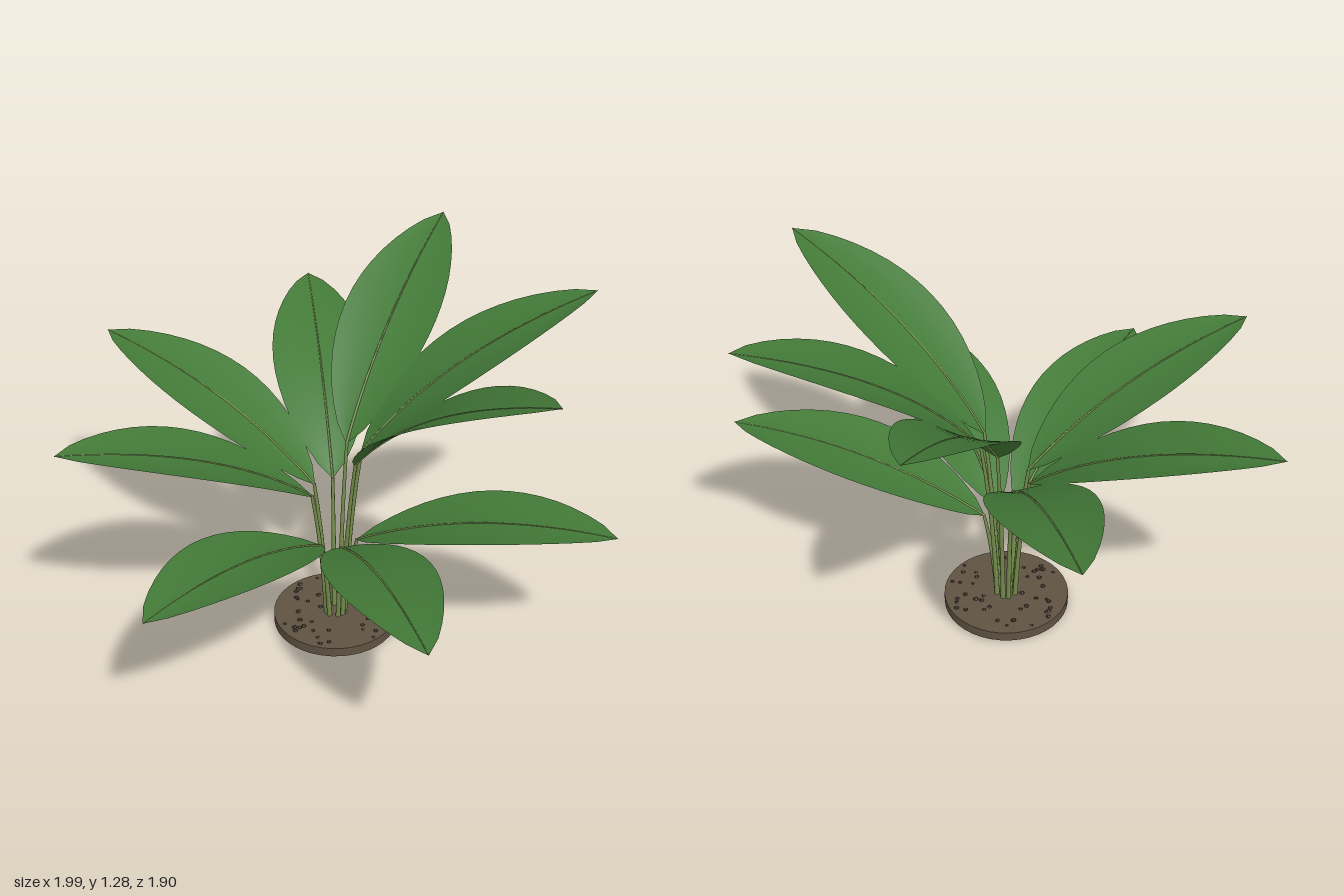
import * as THREE from 'three';

const material = (name, color) => {
  const m = new THREE.MeshStandardMaterial({ color });
  m.name = name;
  return m;
};

function mesh(name, geometry, mat) {
  const m = new THREE.Mesh(geometry, mat);
  m.name = name;
  return m;
}

// Three tiers; points are [distance from the centre, height]
const TIERS = [
  { base: [0.08, 0.38], bend: [0.5, 0.63], tip: [1.022, 0.627] },
  { base: [0.085, 0.57], bend: [0.44, 0.87], tip: [0.985, 0.95] },
  { base: [0.09, 0.72], bend: [0.36, 1.09], tip: [0.918, 1.28] },
];
const HALF_WIDTH = 0.178;
const point = ([r, y]) => new THREE.Vector3(r, y, 0);

// Arching, slightly cupped sheet with a rounded outline and a short tip
function bladeGeometry(curve) {
  const g = new THREE.PlaneGeometry(1, 1, 16, 8).rotateX(-Math.PI / 2);
  const pos = g.attributes.position;
  for (let i = 0; i < pos.count; i++) {
    const t = THREE.MathUtils.clamp(pos.getX(i) + 0.5, 0, 1);
    const u = pos.getZ(i) * 2;
    const p = curve.getPointAt(t);
    const d = curve.getTangentAt(t);
    const swell = Math.pow(Math.max(0, Math.sin(Math.PI * t)), 0.75);
    const lift = 0.024 * swell * u * u;
    pos.setXYZ(i, p.x - d.y * lift, p.y + d.x * lift, u * HALF_WIDTH * swell);
  }
  g.computeVertexNormals();
  return g;
}

// Tube that narrows from one radius to another
function taperedTube(curve, r0, r1, segments, sides) {
  const g = new THREE.TubeGeometry(curve, segments, 1, sides);
  const pos = g.attributes.position;
  const v = new THREE.Vector3();
  for (let i = 0; i < pos.count; i++) {
    const t = Math.floor(i / (sides + 1)) / segments;
    const c = curve.getPointAt(t);
    v.fromBufferAttribute(pos, i).sub(c).multiplyScalar(r0 + (r1 - r0) * t).add(c);
    pos.setXYZ(i, v.x, v.y, v.z);
  }
  return g;
}

export function createModel() {
  const leafGreen = material('leaf green', 0x437a38);
  leafGreen.side = THREE.DoubleSide;
  const stemGreen = material('stem green', 0x758c4c);
  const soilBrown = material('soil brown', 0x5f5242);
  const crumbBrown = material('dark crumb brown', 0x3b3127);

  const plant = new THREE.Group();
  plant.name = 'pottedPlant';
  plant.position.set(-0.025, 0, -0.035);

  // Soil disc
  const soil = mesh('soil', new THREE.CylinderGeometry(0.23, 0.23, 0.036, 40), soilBrown);
  soil.position.y = 0.018;
  plant.add(soil);

  // Crumbs scattered over the soil
  let seed = 7;
  const random = () => (seed = (seed * 16807) % 2147483647) / 2147483647;
  const crumbs = new THREE.Group();
  crumbs.name = 'soilCrumbs';
  const crumbGeometry = new THREE.IcosahedronGeometry(1, 0);
  for (let i = 0; i < 45; i++) {
    const a = random() * Math.PI * 2;
    const r = 0.05 + 0.165 * Math.sqrt(random());
    const s = 0.006 + random() * 0.005;
    const crumb = mesh('crumb', crumbGeometry, crumbBrown);
    crumb.position.set(Math.cos(a) * r, 0.036, Math.sin(a) * r);
    crumb.rotation.y = a * 3;
    crumb.scale.set(s, s * 0.6, s);
    crumbs.add(crumb);
  }
  plant.add(crumbs);

  // Shared shapes for each tier
  const shapes = TIERS.map(({ base, bend, tip }) => {
    const arch = new THREE.QuadraticBezierCurve3(point(base), point(bend), point(tip));
    const stalk = new THREE.QuadraticBezierCurve3(
      point([0.035, 0.02]), point([0.05, base[1] * 0.6]), point([base[0] + 0.004, base[1] + 0.005]));
    return {
      blade: bladeGeometry(arch),
      rib: taperedTube(arch, 0.005, 0.0015, 16, 5),
      stem: taperedTube(stalk, 0.01, 0.006, 6, 8),
    };
  });

  // Nine leaves spiralling by the golden angle
  for (let i = 0; i < 9; i++) {
    const shape = shapes[i % 3];
    const leaf = new THREE.Group();
    leaf.name = 'leaf';
    leaf.add(
      mesh('leafBlade', shape.blade, leafGreen),
      mesh('midrib', shape.rib, stemGreen),
      mesh('leafStem', shape.stem, stemGreen));
    leaf.rotation.y = -THREE.MathUtils.degToRad(i * 137.5);
    plant.add(leaf);
  }

  const model = new THREE.Group();
  model.name = 'plantModel';
  model.add(plant);
  return model;
}
